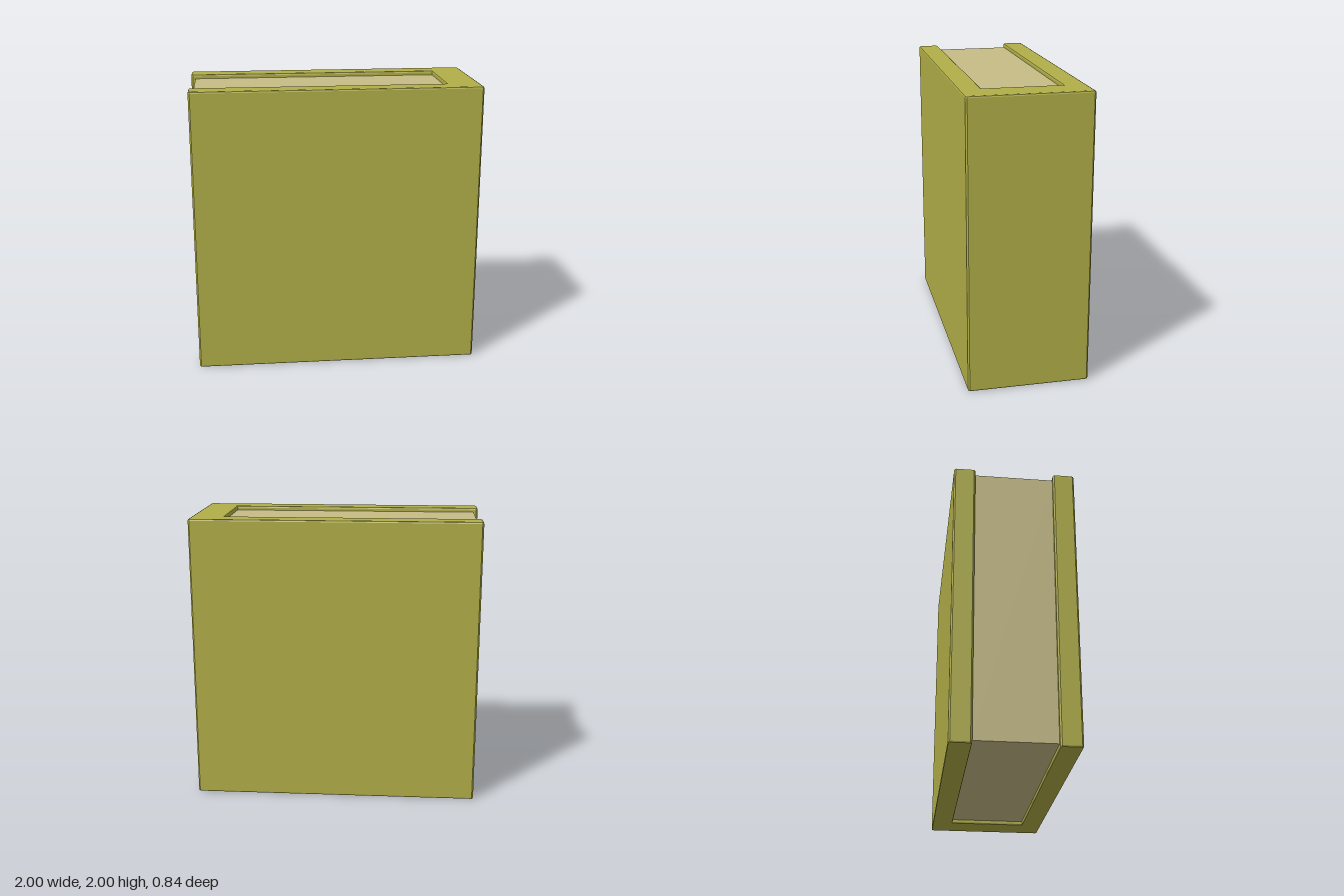
import * as THREE from 'three';

const BEVEL = 0.012;   // softened cover edges
const INSET = 0.03;    // pages sit back from the cover edges
const HALF = 0.415;    // half thickness of the closed book
const INNER = 0.268;   // half thickness of the page block
const FORE = -1, SPINE_IN = 0.77, SPINE_OUT = 0.996;

// Closed outline; corners with a cut are chamfered, the others stay sharp
function chamferedOutline(corners) {
  const v = corners.map(([x, y]) => new THREE.Vector2(x, y));
  const n = v.length;
  return new THREE.Shape(v.flatMap((p, i) => {
    const cut = corners[i][2];
    if (!cut) return [p];
    return [v[(i + n - 1) % n], v[(i + 1) % n]].map(
      (q) => q.clone().sub(p).setLength(cut).add(p),
    );
  }));
}

export function createModel() {
  const book = new THREE.Group();
  book.name = 'book';

  // Cover: front board, spine and back board as one U-shaped section.
  // The outline is drawn one bevel inside the finished faces.
  const x0 = FORE + BEVEL, x1 = SPINE_OUT - BEVEL, xi = SPINE_IN + BEVEL;
  const outer = HALF - BEVEL, inner = INNER + BEVEL, cut = 0.004;
  const outline = chamferedOutline([
    [x0, -outer, cut], [x1, -outer, cut], [x1, outer, cut], [x0, outer, cut],
    [x0, inner, cut], [xi, inner, 0], [xi, -inner, 0], [x0, -inner, cut],
  ]);
  const coverGeometry = new THREE.ExtrudeGeometry(outline, {
    depth: 2 - 2 * BEVEL,
    bevelThickness: BEVEL, bevelSize: BEVEL, bevelSegments: 2,
  });
  coverGeometry.translate(0, 0, BEVEL).rotateX(-Math.PI / 2);
  const cover = new THREE.Mesh(
    coverGeometry,
    new THREE.MeshStandardMaterial({ color: 0xb0ae48 }),
  );
  cover.name = 'cover';

  // Page block, tucked slightly into the boards and spine
  const left = FORE + INSET, right = SPINE_IN + 0.01;
  const pages = new THREE.Mesh(
    new THREE.BoxGeometry(right - left, 2 - 2 * INSET, 2 * INNER + 0.01),
    new THREE.MeshStandardMaterial({ color: 0xc6bc86 }),
  );
  pages.position.set((left + right) / 2, 1, 0);
  pages.name = 'pages';

  book.add(cover, pages);
  book.rotation.y = 0.003; // stands very slightly askew
  return book;
}
